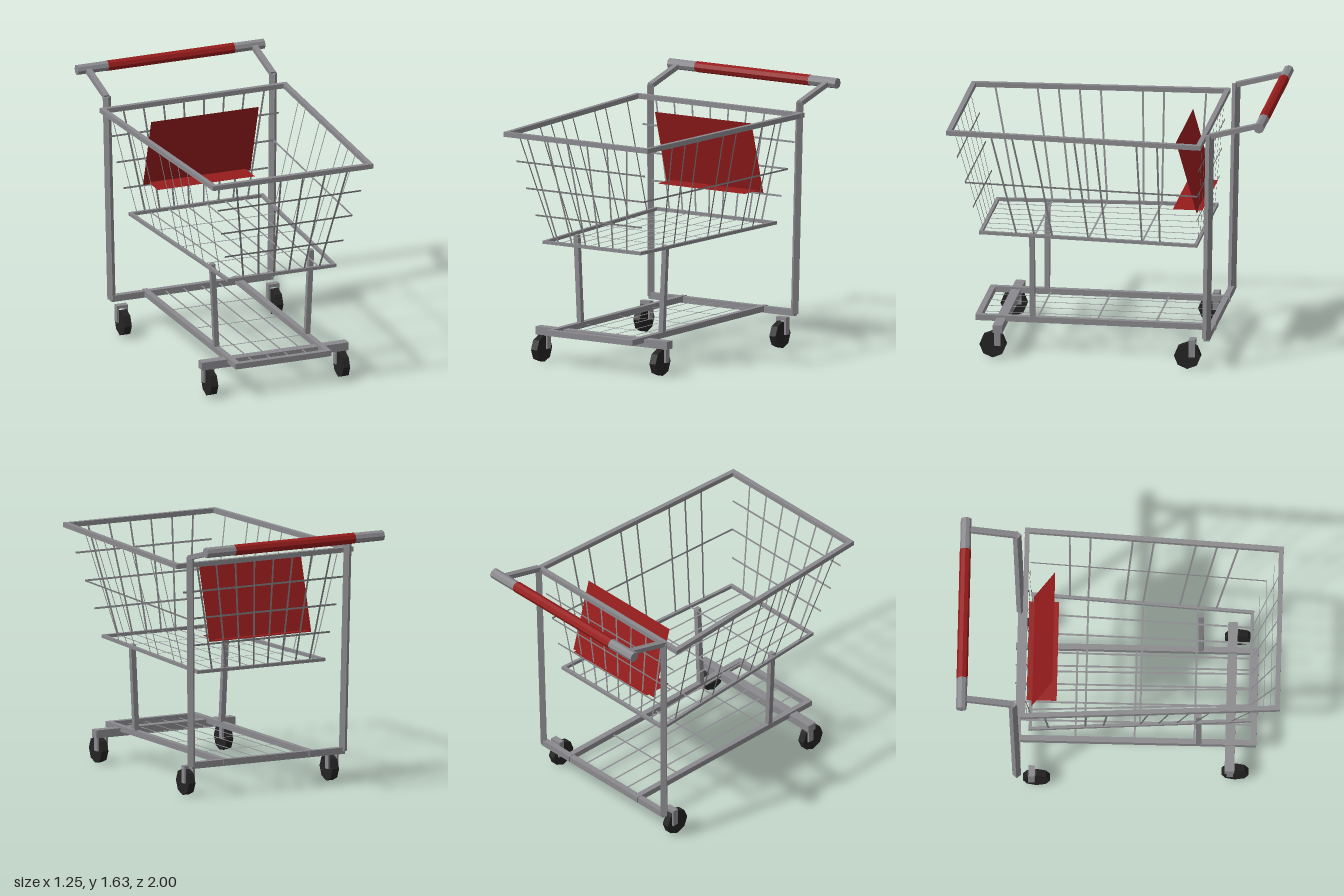
import * as THREE from 'three';

const V = (x, y, z) => new THREE.Vector3(x, y, z);
const mat = (name, color, extra = {}) => {
  const m = new THREE.MeshStandardMaterial({ color, ...extra });
  m.name = name;
  return m;
};

export function createModel() {
  const steel = mat('steel grey', 0x8a8a8e, { side: THREE.DoubleSide, flatShading: true });
  const red = mat('red plastic', 0x961c1c, { side: THREE.DoubleSide, flatShading: true });
  const rubber = mat('black rubber', 0x232323, { flatShading: true });

  const cart = new THREE.Group();
  cart.name = 'shoppingCart';
  const group = (name) => {
    const g = new THREE.Group();
    g.name = name;
    cart.add(g);
    return g;
  };
  const add = (parent, name, geometry, material, x = 0, y = 0, z = 0) => {
    const mesh = new THREE.Mesh(geometry, material);
    mesh.name = name;
    mesh.position.set(x, y, z);
    parent.add(mesh);
    return mesh;
  };
  // Square bar from a to b, with ends lengthened by extra
  const bar = (parent, name, a, b, w, h = w, extra = 0) => {
    const mesh = add(parent, name, new THREE.BoxGeometry(w, h, a.distanceTo(b) + 2 * extra), steel);
    mesh.position.copy(a).add(b).multiplyScalar(0.5);
    mesh.lookAt(b);
  };
  // Four-cornered plate
  const quad = (parent, name, corners, material) => {
    const g = new THREE.BufferGeometry().setFromPoints(corners);
    g.setIndex([0, 1, 2, 0, 2, 3]);
    g.computeVertexNormals();
    add(parent, name, g, material);
  };
  // Flat wire from a to b lying in the panel with the given normal
  const wire = (parent, name, a, b, normal, w = 0.012) => {
    const s = b.clone().sub(a).cross(normal).normalize().multiplyScalar(w / 2);
    quad(parent, name, [a.clone().sub(s), b.clone().sub(s), b.clone().add(s), a.clone().add(s)], steel);
  };
  const mix = (a, b, t) => a.clone().lerp(b, t);

  // Basket rims: front right, front left, back left, back right
  const basket = group('basket');
  const top = [V(-0.522, 1.455, 0.982), V(0.522, 1.455, 0.982), V(0.609, 1.455, -0.588), V(-0.609, 1.455, -0.588)];
  const low = [V(-0.355, 0.77, 0.808), V(0.355, 0.77, 0.808), V(0.441, 0.77, -0.545), V(-0.441, 0.77, -0.545)];
  for (let i = 0; i < 4; i++) {
    const j = (i + 1) % 4;
    bar(basket, 'topRim', top[i], top[j], 0.03, 0.03, 0.015);
    bar(basket, 'bottomRim', low[i], low[j], 0.02, 0.02, 0.01);
  }

  // Basket panels: upright wires at k of n + 1 divisions, then level wires
  const panel = (name, i, n, levels, gaps = []) => {
    const j = (i + 1) % 4;
    const normal = top[j].clone().sub(top[i]).cross(low[i].clone().sub(top[i])).normalize();
    for (let k = 1; k <= n; k++) {
      const t = k / (n + 1);
      if (!gaps.includes(k)) wire(basket, name, mix(low[i], low[j], t), mix(top[i], top[j], t), normal);
    }
    for (const t of levels) wire(basket, name, mix(low[i], top[i], t), mix(low[j], top[j], t), normal);
  };
  panel('frontWire', 0, 6, [0.25, 0.5, 0.75]);
  panel('leftWire', 1, 11, [0.5], [1, 5, 8, 11]);
  panel('backWire', 2, 8, [0.25, 0.5, 0.75]);
  panel('rightWire', 3, 11, [], [2, 5, 10]);

  // Basket floor
  const up = V(0, 1, 0);
  for (let k = 1; k <= 6; k++) {
    wire(basket, 'floorWire', mix(low[0], low[1], k / 7), mix(low[3], low[2], k / 7), up);
  }
  for (let k = 1; k <= 3; k++) {
    wire(basket, 'floorCrossWire', mix(low[0], low[3], k / 4), mix(low[1], low[2], k / 4), up);
  }

  // Child seat: leaning back plate and level flap
  const seat = group('childSeat');
  quad(seat, 'seatBack', [V(-0.36, 0.95, -0.54), V(0.36, 0.95, -0.54), V(0.36, 1.405, -0.41), V(-0.36, 1.405, -0.41)], red);
  quad(seat, 'seatFlap', [V(-0.325, 0.963, -0.385), V(0.325, 0.963, -0.385), V(0.325, 0.963, -0.57), V(-0.325, 0.963, -0.57)], red);

  // Lower frame and tray
  const base = group('lowerFrame');
  const trayY = 0.21;
  bar(base, 'rearBar', V(-0.54, 0.205, -0.625), V(0.54, 0.205, -0.625), 0.036, 0.04);
  bar(base, 'frontBar', V(-0.305, trayY, 0.83), V(0.305, trayY, 0.83), 0.036, 0.036);
  bar(base, 'casterBar', V(-0.49, 0.19, 0.685), V(0.49, 0.19, 0.685), 0.06, 0.05);
  for (const s of [-1, 1]) {
    bar(base, 'sideRail', V(s * 0.303, trayY, -0.65), V(s * 0.303, trayY, 0.845), 0.036, 0.036);
    bar(base, 'basketPost', V(s * 0.303, 0.21, 0.492), V(s * 0.33, 0.77, 0.492), 0.032);
    for (const x of [0.06, 0.18]) {
      wire(base, 'trayWire', V(s * x, trayY, -0.65), V(s * x, trayY, 0.83), up);
    }
  }
  for (const z of [-0.27, 0.095, 0.465]) {
    wire(base, 'trayCrossWire', V(-0.3, trayY, z), V(0.3, trayY, z), up);
  }

  // Uprights and handle
  const handle = group('handle');
  for (const s of [-1, 1]) {
    bar(handle, 'upright', V(s * 0.535, 0.2, -0.626), V(s * 0.556, 1.52, -0.65), 0.038);
    bar(handle, 'handleArm', V(s * 0.556, 1.515, -0.65), V(s * 0.556, 1.6, -0.965), 0.036, 0.03);
  }
  const rod = (name, r, length, material) => {
    const g = new THREE.CylinderGeometry(r, r, length, 8).rotateZ(Math.PI / 2);
    add(handle, name, g, material, 0, 1.6, -0.966);
  };
  rod('handleBar', 0.033, 1.25, steel);
  rod('handleGrip', 0.0345, 0.845, red);

  // Casters: wheel with a trailing fork
  const casters = group('casters');
  const wheel = new THREE.CylinderGeometry(0.083, 0.083, 0.046, 8).rotateZ(Math.PI / 2);
  for (const [x, z] of [[0.441, 0.718], [0.507, -0.505]]) {
    for (const s of [-1, 1]) {
      add(casters, 'wheel', wheel, rubber, s * x, 0.083, z);
      for (const d of [-0.031, 0.031]) {
        add(casters, 'forkPlate', new THREE.BoxGeometry(0.012, 0.1, 0.04), steel, s * x + d, 0.13, z - 0.03);
      }
      add(casters, 'forkCap', new THREE.BoxGeometry(0.074, 0.02, 0.04), steel, s * x, 0.18, z - 0.03);
    }
  }
  return cart;
}
